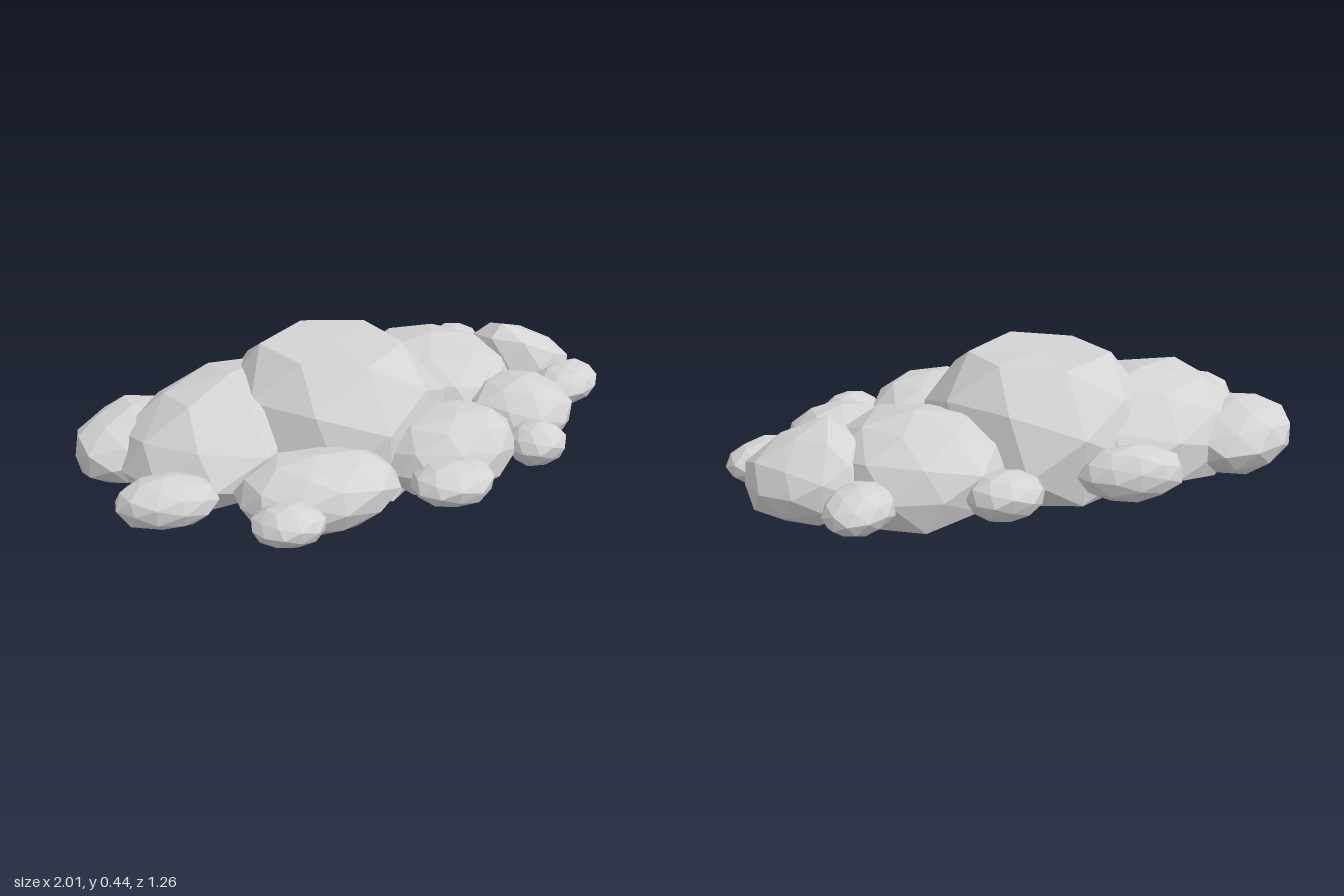
import * as THREE from 'three';

const stone = new THREE.MeshStandardMaterial({ color: 0xd3d3d3 });
stone.name = 'grey stone';
stone.flatShading = true;

const MID = 0.12; // height of every stone's widest ring
const TOP = 0.44; // height of the pile's flat crown

// One faceted stone: a squashed, gently dented icosphere with a flat base.
// yaw picks which facets face front, turn swings the long axis,
// lean slides the upper half towards an off-centre crest.
function makeStone(name, x, z, rx, ry, rz, yaw, turn = 0, lean = [0, 0, 0]) {
  const geo = new THREE.IcosahedronGeometry(1, 1);
  geo.rotateY(yaw);
  const p = geo.attributes.position;
  const v = new THREE.Vector3();
  const size = new THREE.Vector3(rx, ry, rz);
  const up = new THREE.Vector3(0, 1, 0);
  const shift = new THREE.Vector3(...lean);
  for (let i = 0; i < p.count; i++) {
    v.fromBufferAttribute(p, i);
    const wave = Math.sin(v.x * 5.1 + x * 17) * Math.sin(v.y * 4.3 + z * 13) * Math.sin(v.z * 4.7 + yaw * 7);
    const pull = Math.max(0, v.y) ** 3;
    v.multiplyScalar(1.02 + 0.06 * wave).multiply(size).applyAxisAngle(up, turn).addScaledVector(shift, pull);
    p.setXYZ(i, x + v.x, THREE.MathUtils.clamp(MID + v.y, 0.004, TOP), z + v.z);
  }
  geo.computeVertexNormals();
  const mesh = new THREE.Mesh(geo, stone);
  mesh.name = name;
  return mesh;
}

export function createModel() {
  const group = new THREE.Group();
  group.name = 'rockPile';
  // name, x, z, half width, half height, half depth, yaw, turn, lean
  const stones = [
    // large domes
    ['centreBoulder', -0.09, -0.08, 0.42, 0.39, 0.42, 0.5],
    ['rightBoulder', -0.45, -0.19, 0.44, 0.22, 0.33, 0.2, 0.35, [0, 0.03, 0]],
    ['leftBoulder', 0.41, -0.18, 0.31, 0.205, 0.33, 0.9],
    // medium stones around them
    ['backRightRock', -0.75, -0.36, 0.25, 0.13, 0.19, 1.0, 0.5],
    ['frontRightRock', -0.39, 0.31, 0.28, 0.13, 0.19, 0.1, -0.2],
    ['frontRock', 0.14, 0.29, 0.27, 0.15, 0.23, 0.7, 0.2, [0, 0, 0.06]],
    ['frontLeftRock', 0.55, 0.19, 0.2, 0.125, 0.2, 0.3],
    ['leftRock', 0.78, -0.13, 0.22, 0.15, 0.17, 1.1, -0.7, [-0.09, 0.05, 0.03]],
    ['backRock', -0.22, -0.53, 0.18, 0.095, 0.1, 0.6, -0.25],
    // small stones on the rim
    ['rightPebble', -0.84, 0.1, 0.17, 0.085, 0.12, 0.3, -0.35],
    ['frontRightPebble', -0.58, 0.445, 0.12, 0.065, 0.1, 0.8, -0.4],
    ['frontPebble', 0.02, 0.5, 0.15, 0.07, 0.125, 0.2],
    ['frontLeftPebble', 0.43, 0.44, 0.11, 0.075, 0.1, 0.5],
    ['leftPebble', 0.85, 0.11, 0.15, 0.07, 0.11, 1.2, 0.35],
    ['backLeftPebble', 0.7, -0.42, 0.14, 0.075, 0.11, 0.9, 0.7],
    ['backPebble', 0.24, -0.52, 0.13, 0.08, 0.105, 0.4],
  ];
  for (const s of stones) group.add(makeStone(...s));
  return group;
}
